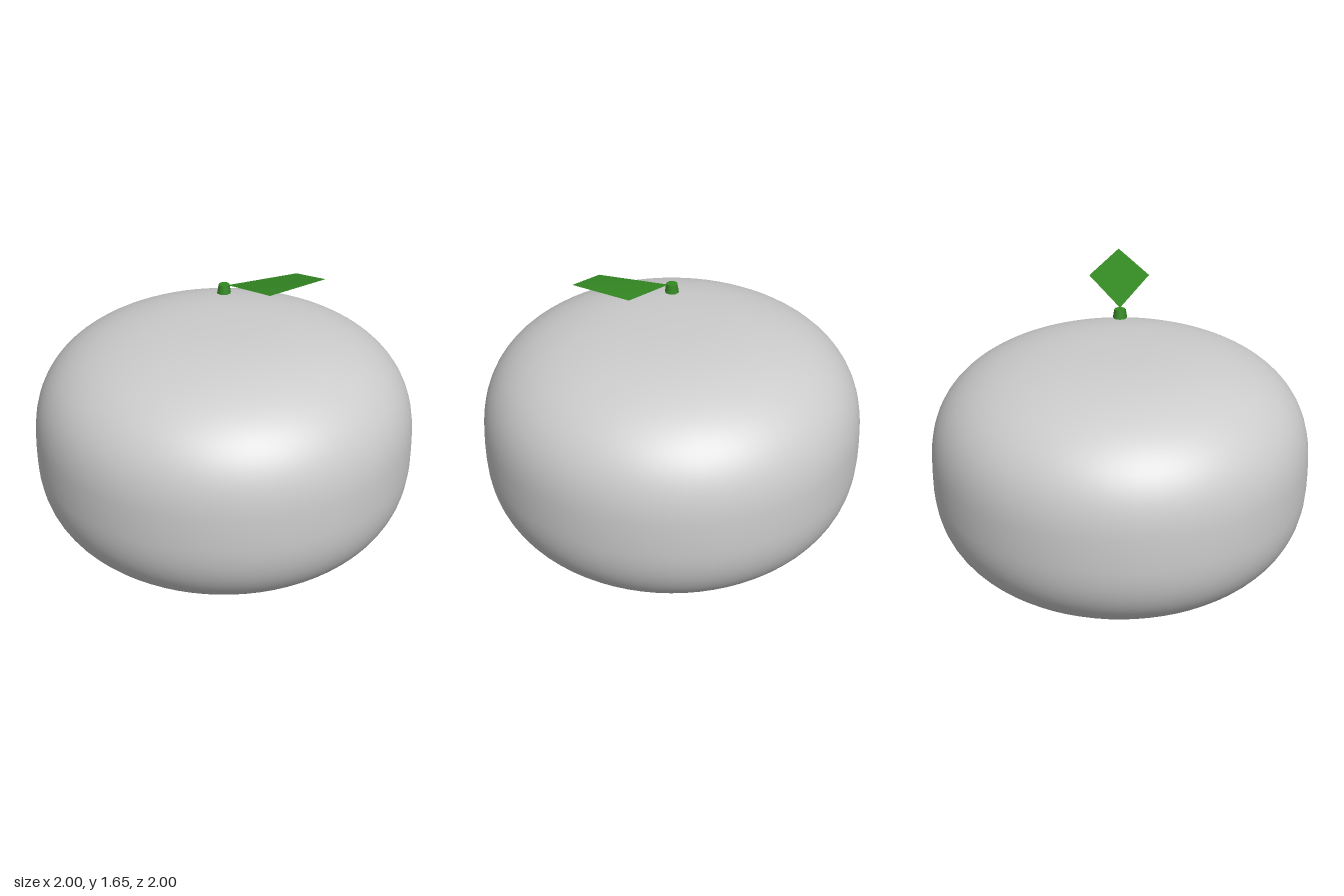
import * as THREE from 'three';

export function createModel() {
  const model = new THREE.Group();
  const skin = new THREE.MeshStandardMaterial({ color: 0xcccccc });
  skin.name = 'pale grey skin';
  const green = new THREE.MeshStandardMaterial({ color: 0x338822, side: THREE.DoubleSide });
  green.name = 'leaf green';

  const add = (name, geometry, material) => {
    const mesh = new THREE.Mesh(geometry, material);
    mesh.name = name;
    model.add(mesh);
    return mesh;
  };

  // Squat fruit: a superellipse profile turned about y
  const profile = [];
  const steps = 48;
  const power = 2 / 2.7;
  for (let i = 0; i <= steps; i++) {
    const a = -Math.PI / 2 + (Math.PI * i) / steps;
    const s = Math.sin(a);
    const r = i === 0 || i === steps ? 0 : Math.pow(Math.cos(a), power);
    profile.push(new THREE.Vector2(r, 0.65 + 0.647 * Math.sign(s) * Math.pow(Math.abs(s), power)));
  }
  add('fruitBody', new THREE.LatheGeometry(profile, 72), skin);

  // Short tapered stem above the fruit
  const stem = new THREE.CylinderGeometry(0.029, 0.037, 0.045, 8);
  add('stem', stem, green).position.y = 1.494;

  // Diamond leaf, gently folded along its midrib
  const leaf = new THREE.BufferGeometry();
  leaf.setAttribute('position', new THREE.Float32BufferAttribute([
    0.02, 1.515, 0,
    0.33, 1.579, 0.158,
    0.553, 1.65, 0,
    0.33, 1.579, -0.158,
  ], 3));
  leaf.setIndex([0, 1, 2, 0, 2, 3]);
  leaf.computeVertexNormals();
  add('leaf', leaf, green);

  return model;
}
